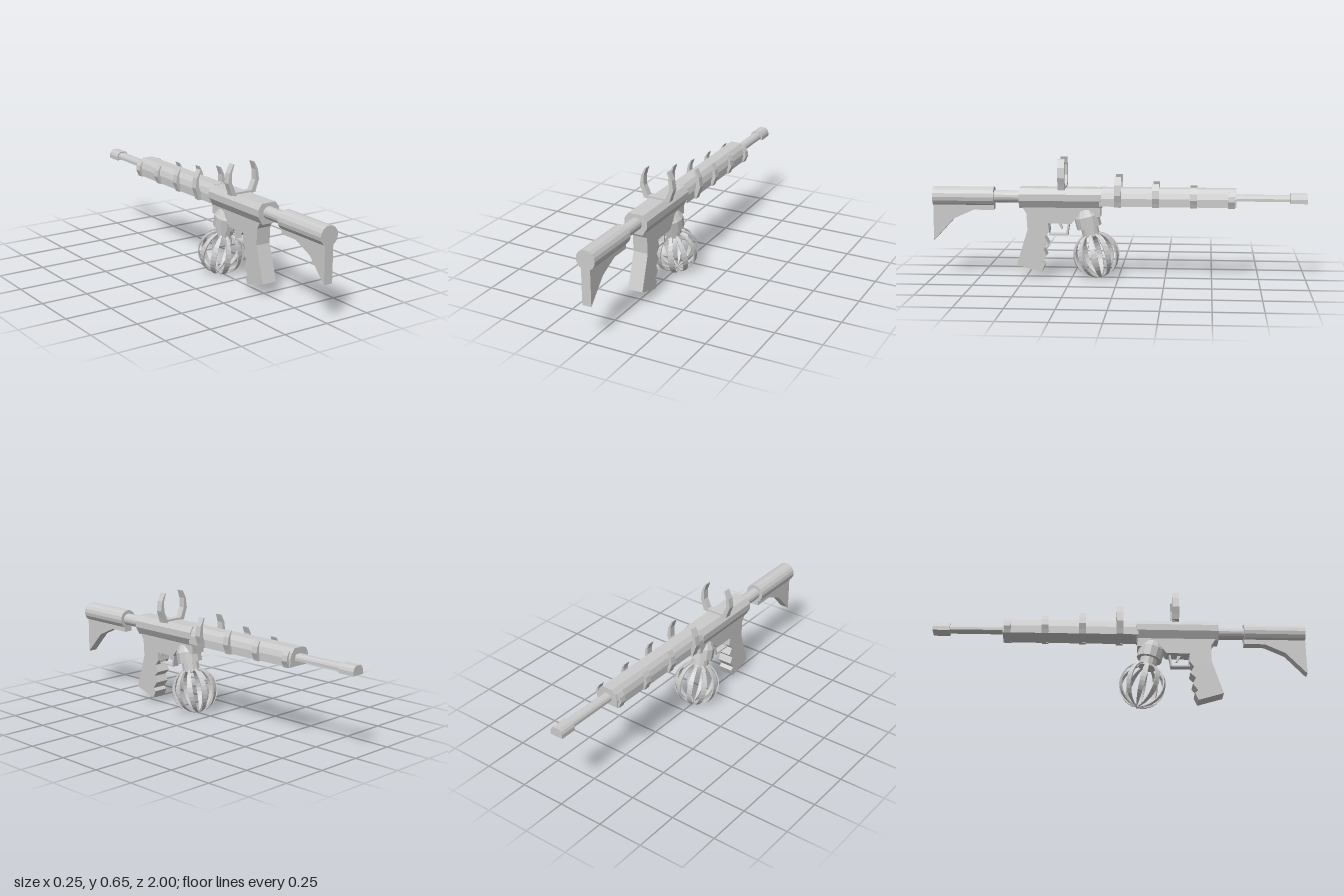
import * as THREE from 'three';

const grey = new THREE.MeshStandardMaterial({ color: 0xcccccc, flatShading: true });

const toShape = (pts) => new THREE.Shape(pts.map(([a, b]) => new THREE.Vector2(a, b)));

function add(parent, name, geometry) {
  const mesh = new THREE.Mesh(geometry, grey);
  mesh.name = name;
  parent.add(mesh);
  return mesh;
}

// Section drawn in (x, y), swept along z from z0 to z1
function sweep(shape, z0, z1) {
  const g = new THREE.ExtrudeGeometry(shape, { depth: z1 - z0, bevelEnabled: false });
  return g.translate(0, 0, z0);
}

// Profile drawn in (z, y), extruded across the width and centred on x = 0
function slab(shape, width) {
  const g = new THREE.ExtrudeGeometry(shape, { depth: width, bevelEnabled: false });
  return g.translate(0, 0, -width / 2).rotateY(-Math.PI / 2);
}

// Flat-bottomed section with a chamfered top
function domed(half, y0, y1) {
  const h = y1 - y0;
  return toShape([
    [-half, y0], [half, y0], [half, y0 + 0.45 * h], [half * 0.82, y0 + 0.76 * h], [half * 0.5, y1],
    [-half * 0.5, y1], [-half * 0.82, y0 + 0.76 * h], [-half, y0 + 0.45 * h],
  ]);
}

// Curved horn on the +x side, foot at y = 0
const hornPoints = [
  [0.046, 0], [0.074, 0], [0.083, 0.03], [0.096, 0.066], [0.088, 0.12], [0.066, 0.163],
  [0.059, 0.163], [0.073, 0.12], [0.073, 0.066], [0.05, 0.014],
];

function hornPair(parent, name, z, y, scale) {
  const pair = new THREE.Group();
  pair.name = name;
  const pivot = 0.052; // keeps the foot on the side of the barrel as the horn shrinks
  for (const side of [1, -1]) {
    let pts = hornPoints.map(([a, b]) => [side * (pivot + (a - pivot) * (0.3 + 0.7 * scale)), y + b * scale]);
    if (side < 0) pts = pts.reverse();
    add(pair, side > 0 ? 'leftHorn' : 'rightHorn', sweep(toShape(pts), z - 0.018, z + 0.018));
  }
  parent.add(pair);
  return pair;
}

// One curved strip of the cage: a closed rectangular section run from pole to neck
function cageRib(radius, thickness, halfAngle, topAngle) {
  const steps = 14, pos = [], index = [];
  for (let i = 0; i <= steps; i++) {
    const polar = Math.PI - (Math.PI - topAngle) * (i / steps);
    for (const [r, a] of [[radius, -halfAngle], [radius, halfAngle], [radius - thickness, halfAngle], [radius - thickness, -halfAngle]]) {
      const ring = r * Math.sin(polar);
      pos.push(ring * Math.cos(a), r * Math.cos(polar), -ring * Math.sin(a));
    }
  }
  for (let i = 0; i < steps; i++) {
    for (let k = 0; k < 4; k++) {
      const a = i * 4 + k, b = i * 4 + (k + 1) % 4;
      index.push(a, b, b + 4, a, b + 4, a + 4);
    }
  }
  const g = new THREE.BufferGeometry();
  g.setAttribute('position', new THREE.Float32BufferAttribute(pos, 3));
  g.setIndex(index);
  g.computeVertexNormals();
  return g;
}

export function createModel() {
  const model = new THREE.Group();
  model.name = 'rifle';

  // Shoulder stock: round tube with a thin blade below
  const tube = (r, z0, z1, y) =>
    new THREE.CylinderGeometry(r, r, z1 - z0, 16).rotateX(Math.PI / 2).translate(0, y, (z0 + z1) / 2);
  add(model, 'stockTube', tube(0.052, 0.67, 1, 0.436));
  add(model, 'stockBlade', slab(toShape([
    [0.67, 0.365], [0.78, 0.365], [0.89, 0.315], [1, 0.197], [1, 0.42], [0.67, 0.42],
  ]), 0.05));
  add(model, 'bufferTube', tube(0.033, 0.52, 0.68, 0.436));

  // Receiver
  add(model, 'receiver', sweep(toShape([
    [-0.038, 0.378], [0.038, 0.378], [0.064, 0.422], [0.064, 0.457], [0.042, 0.487],
    [-0.042, 0.487], [-0.064, 0.457], [-0.064, 0.422],
  ]), 0.09, 0.53));

  // Lower body and pistol grip with finger grooves
  add(model, 'gripAndLowerBody', slab(toShape([
    [0.095, 0.40], [0.095, 0.335], [0.22, 0.335], [0.25, 0.297], [0.375, 0.297],
    [0.37, 0.25], [0.395, 0.222], [0.373, 0.185], [0.402, 0.157], [0.385, 0.122],
    [0.412, 0.085], [0.395, 0.07], [0.413, 0.03], [0.547, 0.07], [0.487, 0.26],
    [0.492, 0.35], [0.515, 0.385], [0.515, 0.40],
  ]), 0.082));

  // Trigger guard and trigger
  const guard = toShape([[0.262, 0.3], [0.272, 0.23], [0.375, 0.23], [0.375, 0.3]]);
  guard.holes.push(new THREE.Path([[0.272, 0.297], [0.372, 0.297], [0.372, 0.238], [0.281, 0.238]]
    .map(([a, b]) => new THREE.Vector2(a, b))));
  add(model, 'triggerGuard', slab(guard, 0.04));
  add(model, 'trigger', slab(toShape([[0.31, 0.3], [0.3, 0.262], [0.308, 0.262], [0.33, 0.3]]), 0.015));

  // Barrel assembly
  add(model, 'barrelShroud', sweep(domed(0.062, 0.395, 0.489), -0.625, 0.1));
  add(model, 'barrel', sweep(domed(0.027, 0.425, 0.457), -0.93, -0.6));
  add(model, 'muzzle', sweep(domed(0.037, 0.416, 0.464), -1, -0.91));

  // Rear sight horns joined by a bar, then shrinking horns along the shroud
  const rear = hornPair(model, 'rearHorns', 0.3, 0.483, 1);
  add(rear, 'hornBar', new THREE.BoxGeometry(0.11, 0.018, 0.036).translate(0, 0.488, 0.3));
  [1, 0.77, 0.64, 0.53].forEach((s, i) => hornPair(model, `shroudHorns${i + 1}`, -0.2 * i, 0.392, s));

  // Round cage hanging from a tilted neck
  const cage = new THREE.Group();
  cage.name = 'cage';
  cage.position.set(0, 0.125, 0.12);
  cage.rotation.x = THREE.MathUtils.degToRad(14);
  const ribShape = cageRib(0.125, 0.007, 0.12, 0.39);
  for (let i = 0; i < 10; i++) add(cage, 'cageRib', ribShape).rotation.y = (i * Math.PI) / 5;
  const neck = [
    [0, 0.105], [0.047, 0.105], [0.047, 0.155], [0.068, 0.155], [0.068, 0.215],
    [0.06, 0.228], [0.048, 0.25], [0.028, 0.266], [0, 0.272],
  ].map(([r, t]) => new THREE.Vector2(r, t));
  add(cage, 'cageNeck', new THREE.LatheGeometry(neck, 12));
  model.add(cage);

  return model;
}
